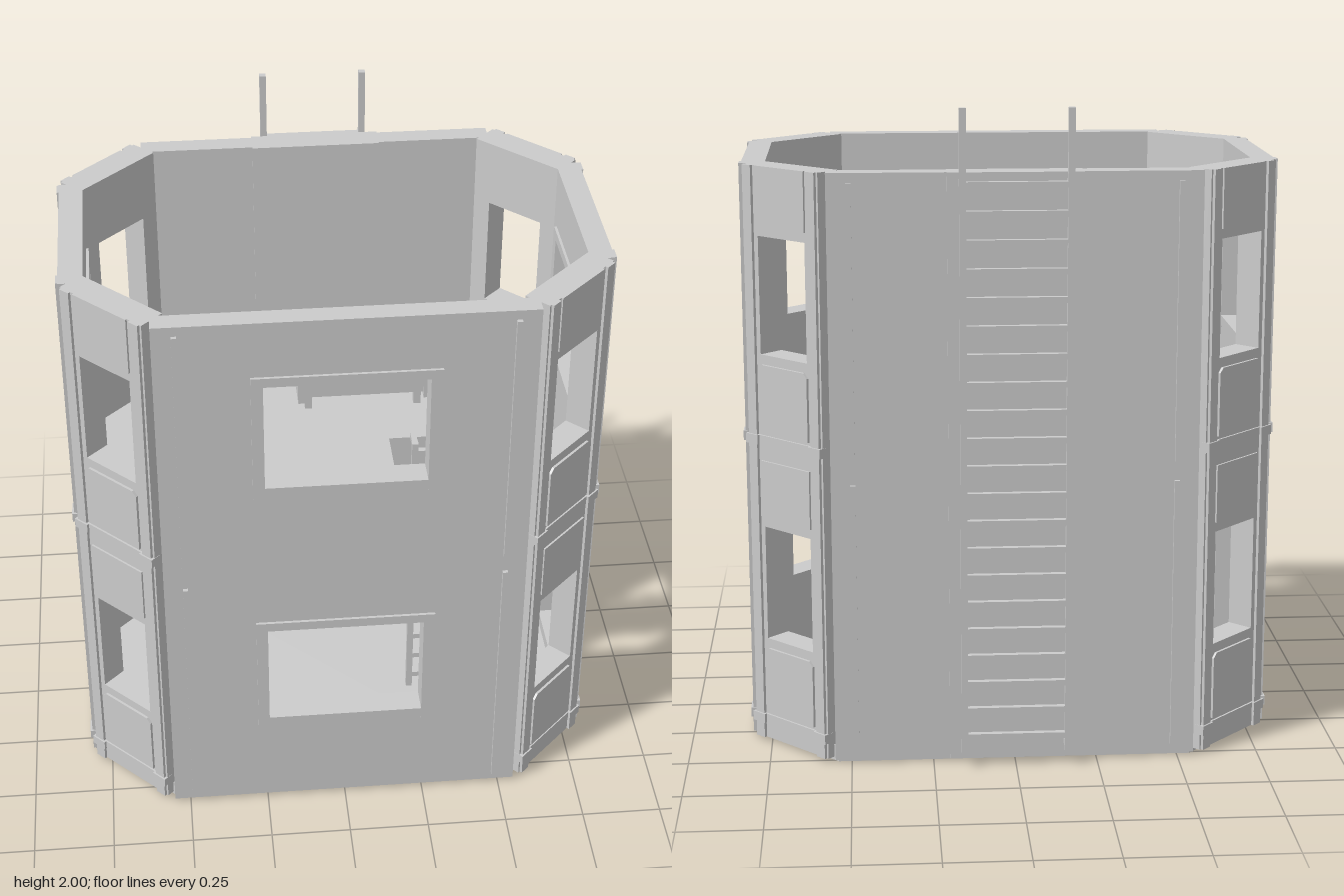
import * as THREE from 'three';

const STOREY = 0.9, BASE = 0.01, MID_Z = 0.02;

export function createModel() {
  const grey = new THREE.MeshStandardMaterial({ color: 0xcccccc });
  grey.name = 'concrete grey';
  const model = new THREE.Group();
  model.name = 'openTower';

  const group = (name, parent) => {
    const g = new THREE.Group();
    g.name = name;
    parent.add(g);
    return g;
  };
  // box given by its minimum and maximum on each axis
  const box = (parent, name, x0, x1, y0, y1, z0, z1) => {
    const m = new THREE.Mesh(new THREE.BoxGeometry(x1 - x0, y1 - y0, z1 - z0), grey);
    m.position.set((x0 + x1) / 2, (y0 + y1) / 2, (z0 + z1) / 2);
    m.name = name;
    parent.add(m);
    return m;
  };
  const loop = (pts, Type = THREE.Shape) => new Type(pts.map(p => new THREE.Vector2(p[0], p[1])));
  const rect = (x0, x1, y0, y1) => [[x0, y0], [x1, y0], [x1, y1], [x0, y1]];
  const plate = (parent, name, outline, holes, depth, z) => {
    const s = loop(outline);
    holes.forEach(h => s.holes.push(loop(h, THREE.Path)));
    const m = new THREE.Mesh(new THREE.ExtrudeGeometry(s, { depth, bevelEnabled: false }), grey);
    m.position.z = z;
    m.name = name;
    parent.add(m);
    return m;
  };

  // wall with its outer face on local z = 0; opening = [half width, bottom, top]
  const wall = (parent, name, half, thick, opening) => {
    const holes = opening ? [rect(-opening[0], opening[0], opening[1], opening[2])] : [];
    plate(parent, name, rect(-half, half, 0, STOREY), holes, thick, -thick);
  };
  // raised trim around an opening, outside and inside
  const trim = (parent, hw, y0, y1, thick) => {
    for (const [z0, z1] of [[-0.01, 0.009], [-thick - 0.008, -thick + 0.01]]) {
      for (const s of [-1, 1]) {
        box(parent, 'frameSide', s * (hw + 0.0175) - 0.0175, s * (hw + 0.0175) + 0.0175, y0 - 0.04, y1 + 0.03, z0, z1);
      }
      box(parent, 'frameTop', -hw, hw, y1, y1 + 0.03, z0, z1);
      box(parent, 'frameSill', -hw, hw, y0 - 0.033, y0, z0, z1);
    }
  };
  const place = (g, x, z, turn, level) => {
    g.position.set(x, BASE + level * STOREY, MID_Z + z);
    g.rotation.y = turn;
  };

  for (let level = 0; level < 2; level++) {
    const storey = group(level ? 'upperStorey' : 'lowerStorey', model);

    // long front wall with window, and plain back wall
    const front = group('frontWall', storey);
    place(front, 0, 0.55, 0, level);
    wall(front, 'frontPanel', 0.55, 0.065, [0.24, 0.335, 0.69]);
    trim(front, 0.24, 0.335, 0.69, 0.065);
    const back = group('backWall', storey);
    place(back, 0, -0.545, Math.PI, level);
    wall(back, 'backPanel', 0.55, 0.065);
    box(back, 'backThickPanel', -0.2, 0.2, 0, STOREY, -0.072, 0.007);
    for (const w of [front, back]) {
      for (const s of [-1, 1]) {
        box(w, 'verticalStrip', s * 0.485 - 0.008, s * 0.485 + 0.008, 0.03, 0.87, -0.01, 0.012);
      }
    }

    for (const side of [-1, 1]) {
      // end walls: doorway below, window above
      const end = group('endWall', storey);
      place(end, side * 0.805, 0, side * Math.PI / 2, level);
      const bottom = level ? 0.33 : 0.04, top = level ? 0.69 : 0.74;
      wall(end, 'endPanel', 0.29, 0.072, [0.175, bottom, top]);
      trim(end, 0.175, bottom, top, 0.072);
      if (!level) box(end, 'doorThreshold', -0.21, 0.21, 0.045, 0.085, -0.05, 0.009);
      for (const s of [-1, 1]) {
        box(end, 'endRib', s * 0.265 - 0.022, s * 0.265 + 0.022, 0, STOREY, -0.02, 0.006);
        box(end, 'endBand', s * 0.265 - 0.028, s * 0.265 + 0.028, 0.05, 0.08, -0.02, 0.012);
      }

      // slanted corner walls with tall windows
      for (const face of [-1, 1]) {
        const corner = group('cornerWall', storey);
        place(corner, side * 0.685, face * 0.42, Math.atan2(side, face), level);
        wall(corner, 'cornerPanel', 0.16, 0.085, [0.1, 0.33, 0.69]);
        for (const s of [-1, 1]) {
          box(corner, 'cornerRib', s * 0.135 - 0.018, s * 0.135 + 0.018, 0, STOREY, -0.02, 0.009);
          box(corner, 'cornerBand', s * 0.135 - 0.026, s * 0.135 + 0.026, 0.05, 0.08, -0.02, 0.014);
        }
        const c = 0.015;
        plate(corner, 'lowerInset', [[-0.105, 0.09], [0.105, 0.09], [0.105, 0.3 - c], [0.105 - c, 0.3],
          [-0.105 + c, 0.3], [-0.105, 0.3 - c]], [], 0.009, -0.001);
        box(corner, 'upperInset', -0.105, 0.105, 0.72, STOREY, -0.002, 0.006);
        box(corner, 'footBand', -0.12, 0.12, 0.05, 0.08, -0.002, 0.006);
      }
    }
  }

  // floors: eight-sided slabs, the upper one with a ladder hatch
  const octagon = (w, d, sum) => [[w, sum - w], [sum - d, d], [d - sum, d], [-w, sum - w],
    [-w, w - sum], [d - sum, -d], [sum - d, -d], [w, w - sum]];
  const floor = (name, outline, holes, depth, y) => {
    const m = plate(model, name, outline, holes, depth, MID_Z);
    m.rotation.x = -Math.PI / 2;
    m.position.y = y;
  };
  floor('groundFloor', octagon(0.77, 0.53, 1.07), [], 0.05, 0);
  floor('upperFloor', octagon(0.76, 0.51, 1.04),
    [[[0.2, 0.07], [0.63, 0.07], [0.63, -0.32], [0.55, -0.42], [0.2, -0.42]]], 0.04, 0.91);

  // ladder; brackets reach towards the support by the given amount
  const ladder = (name, cx, half, z, y0, y1, rungTop, brackets, reach) => {
    const g = group(name, model);
    g.position.set(cx, 0, z);
    for (const s of [-1, 1]) {
      box(g, 'ladderRail', s * half - 0.01, s * half + 0.01, y0, y1, -0.01, 0.01);
      for (const y of brackets) {
        box(g, 'ladderBracket', s * half - 0.009, s * half + 0.009, y - 0.01, y + 0.01, Math.min(0, reach), Math.max(0, reach));
      }
    }
    for (let y = y0 + 0.05; y <= rungTop; y += 0.084) {
      box(g, 'ladderRung', -half, half, y - 0.009, y + 0.009, -0.009, 0.009);
    }
  };
  ladder('outsideLadder', 0, 0.157, -0.58, 0.05, 2, 1.8, [0.065, 1.78], 0.055);
  ladder('insideLadder', 0.415, 0.155, 0.133, 0.05, 1.06, 1.05, [1.05], -0.063);

  // low bunks against the back wall
  const bunk = (x, y) => {
    const g = group('bunk', model);
    g.position.set(x, y, -0.345);
    box(g, 'mattress', -0.185, 0.2, 0.05, 0.13, -0.11, 0.11);
    box(g, 'footBoard', -0.215, -0.18, 0.03, 0.14, -0.115, 0.115);
    box(g, 'headBoard', 0.2, 0.215, 0.03, 0.14, -0.115, 0.115);
    box(g, 'pillow', 0.075, 0.195, 0.13, 0.145, -0.1, 0.09);
    box(g, 'pillowTop', 0.095, 0.177, 0.145, 0.155, -0.08, 0.07);
    for (const sx of [-0.18, 0.18]) {
      for (const sz of [-0.09, 0.09]) box(g, 'bunkLeg', sx - 0.012, sx + 0.012, 0, 0.05, sz - 0.012, sz + 0.012);
    }
  };
  bunk(0.135, 0.95);
  bunk(-0.335, 0.05);

  return model;
}
